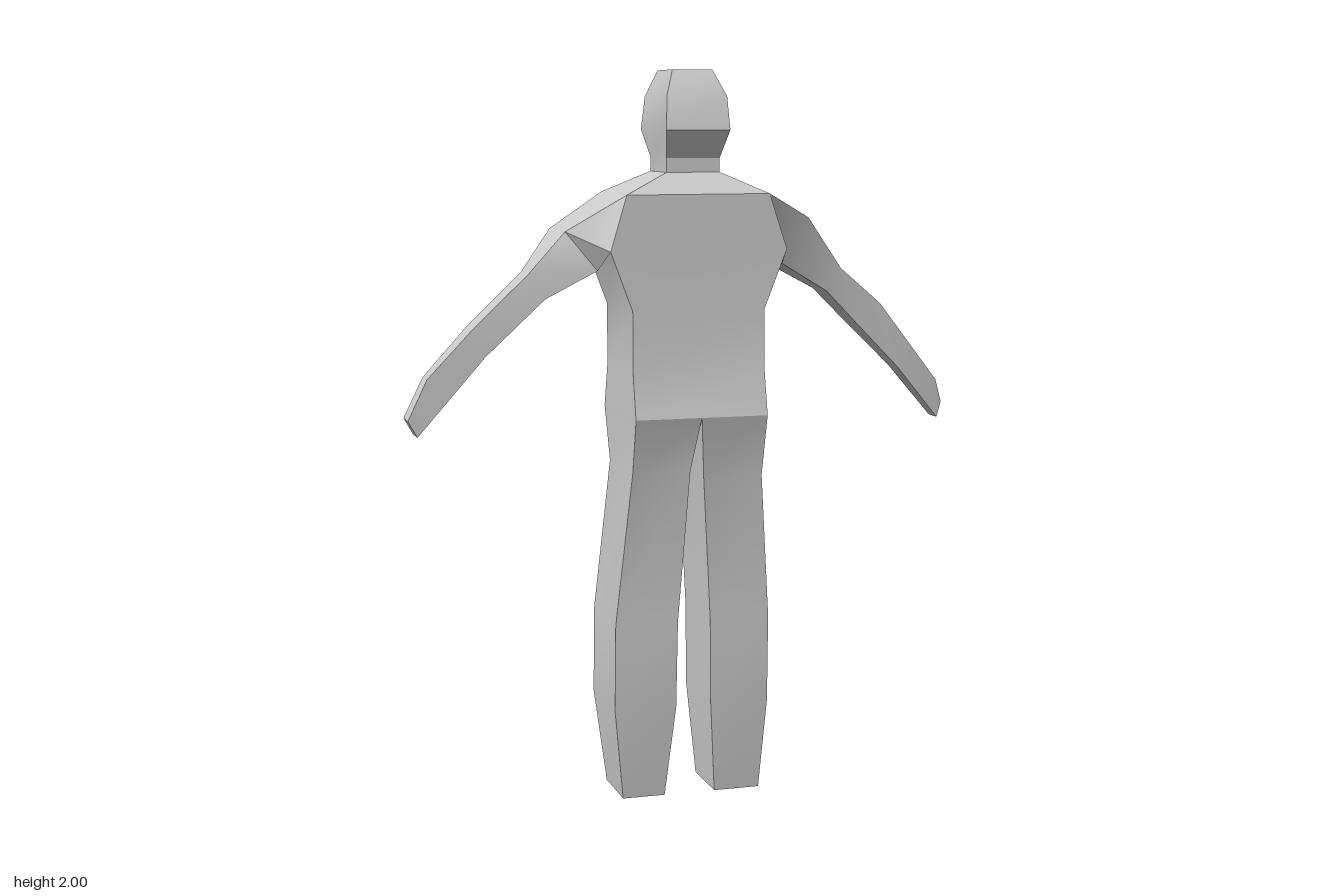
import * as THREE from 'three';
import { toCreasedNormals } from 'three/addons/utils/BufferGeometryUtils.js';

const material = new THREE.MeshStandardMaterial({ color: 0xcccccc });

// Skin four-cornered cross-sections into a strip of quads, with optional end caps
function loft(name, rings, capStart, capEnd) {
  const pos = [];
  const quad = (a, b, c, d) => pos.push(...a, ...b, ...c, ...a, ...c, ...d);
  for (let r = 0; r < rings.length - 1; r++) {
    const a = rings[r], b = rings[r + 1];
    for (let i = 0; i < 4; i++) {
      const j = (i + 1) % 4;
      quad(a[i], a[j], b[j], b[i]);
    }
  }
  if (capStart) quad(...[...rings[0]].reverse());
  if (capEnd) quad(...rings[rings.length - 1]);
  const geo = new THREE.BufferGeometry();
  geo.setAttribute('position', new THREE.Float32BufferAttribute(pos, 3));
  const mesh = new THREE.Mesh(toCreasedNormals(geo, 0.52), material);
  mesh.name = name;
  return mesh;
}

// Level rectangle: [y, x0, x1, back z, front z]
const level = ([y, x0, x1, z0, z1]) => [[x1, y, z1], [x1, y, z0], [x0, y, z0], [x0, y, z1]];

// Arm section: [top x, top y, bottom x, bottom y, top back z, bottom back z, top front z, bottom front z]
function armRing([tx, ty, bx, by, tb, bb, tf, bf]) {
  const ring = [[bx, by, bf], [bx, by, bb], [tx, ty, tb], [tx, ty, tf]];
  return tx < 0 ? ring.reverse() : ring;
}

export function createModel() {
  const group = new THREE.Group();
  group.name = 'figure';

  // Torso from hips to the base of the neck
  group.add(loft('torso', [
    [1.07, -0.185, 0.187, -0.168, 0.165],
    [1.19, -0.185, 0.187, -0.135, 0.137],
    [1.36, -0.185, 0.187, -0.135, 0.135],
    [1.52, -0.245, 0.25, -0.137, 0.135],
    [1.67, -0.2, 0.2, -0.135, 0.135],
    [1.727, -0.075, 0.075, -0.076, 0.08],
  ].map(level)));

  // Neck and head
  group.add(loft('head', [
    [1.727, -0.075, 0.075, -0.076, 0.08],
    [1.765, -0.075, 0.075, -0.076, 0.08],
    [1.84, -0.088, 0.09, -0.127, 0.127],
    [1.93, -0.082, 0.086, -0.108, 0.11],
    [2.0, -0.055, 0.057, -0.073, 0.07],
  ].map(level), false, true));

  // Legs, each with its own stance
  group.add(loft('rightLeg', [
    [0, -0.205, -0.085, -0.09, 0.09],
    [0.26, -0.235, -0.06, -0.118, 0.12],
    [0.5, -0.232, -0.055, -0.118, 0.12],
    [0.92, -0.183, -0.02, -0.12, 0.122],
    [1.07, -0.185, 0, -0.168, 0.165],
  ].map(level), true));
  group.add(loft('leftLeg', [
    [0, 0.06, 0.19, -0.09, 0.09],
    [0.26, 0.04, 0.205, -0.118, 0.12],
    [0.5, 0.038, 0.207, -0.118, 0.12],
    [0.9, 0.018, 0.185, -0.12, 0.122],
    [1.07, 0, 0.187, -0.168, 0.165],
  ].map(level), true));

  // Arms from shoulder to fingertips
  group.add(loft('leftArm', [
    [0.2, 1.67, 0.25, 1.52, -0.135, -0.137, 0.135, 0.135],
    [0.34, 1.6, 0.262, 1.475, -0.11, -0.14, 0.055, 0.06],
    [0.45, 1.455, 0.405, 1.393, -0.083, -0.085, 0.022, 0.03],
    [0.57, 1.355, 0.5, 1.3, -0.085, -0.088, 0.015, 0.015],
    [0.75, 1.13, 0.63, 1.17, -0.065, -0.07, 0, 0.008],
    [0.77, 1.065, 0.757, 1.02, -0.06, -0.06, -0.005, -0.003],
  ].map(armRing), false, true));
  group.add(loft('rightArm', [
    [-0.2, 1.67, -0.245, 1.52, -0.135, -0.137, 0.135, 0.135],
    [-0.345, 1.57, -0.262, 1.465, -0.148, -0.148, 0.035, 0.06],
    [-0.44, 1.455, -0.395, 1.388, -0.09, -0.09, 0.002, 0.01],
    [-0.59, 1.315, -0.56, 1.235, -0.085, -0.088, 0.003, 0.003],
    [-0.72, 1.18, -0.65, 1.135, -0.06, -0.065, 0.006, 0.006],
    [-0.773, 1.07, -0.748, 1.025, -0.066, -0.066, 0.006, 0.006],
  ].map(armRing), false, true));

  return group;
}
